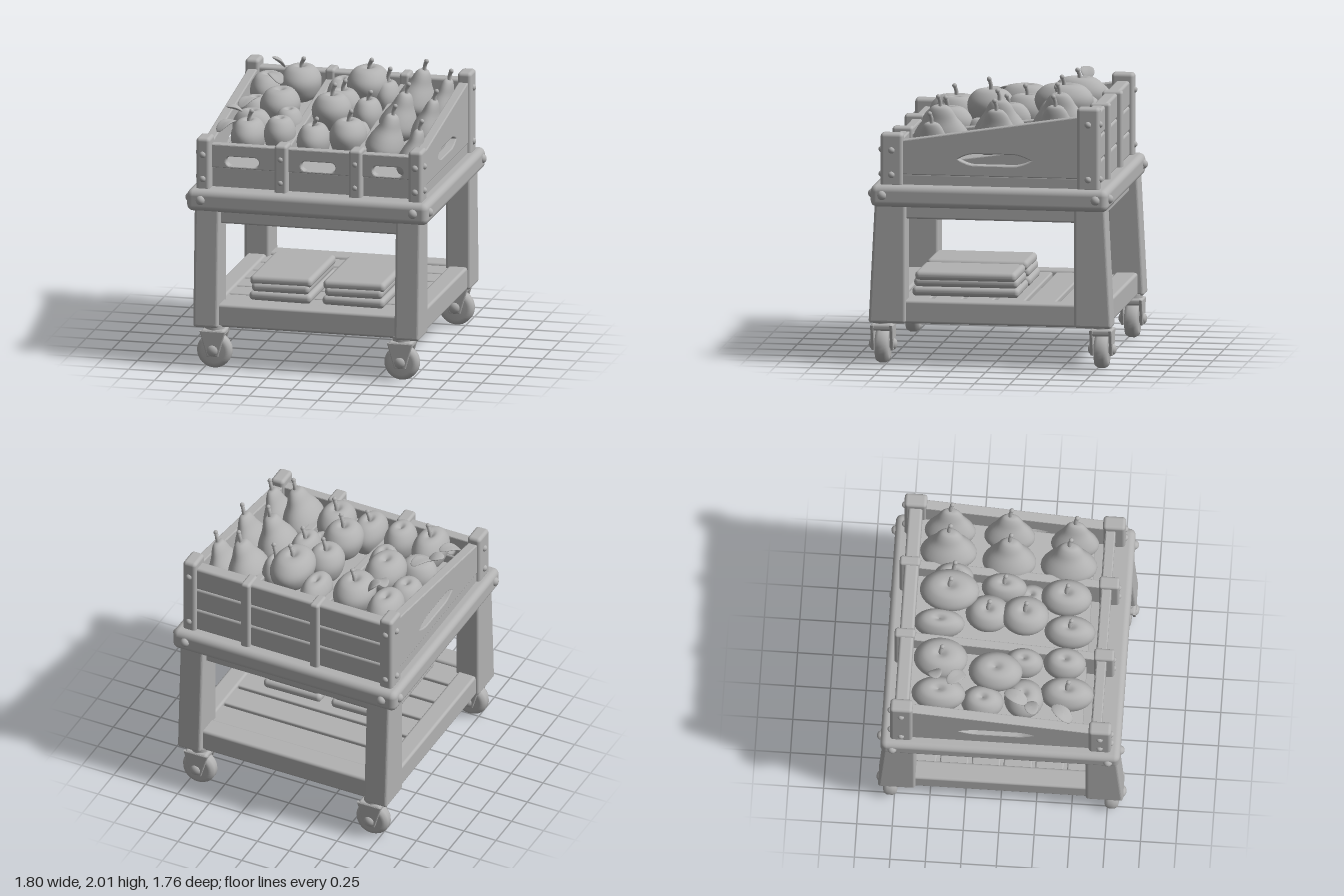
import * as THREE from 'three';
import { RoundedBoxGeometry } from 'three/addons/geometries/RoundedBoxGeometry.js';

const clay = new THREE.MeshStandardMaterial({ color: 0xb2b2b2 });
clay.name = 'clayGrey';

export function createModel() {
  const root = new THREE.Group();
  root.name = 'fruitCart';

  const add = (name, geo, x = 0, y = 0, z = 0, parent = root) => {
    const m = new THREE.Mesh(geo, clay);
    m.name = name;
    m.position.set(x, y, z);
    parent.add(m);
    return m;
  };
  // Rounded box given by its limits on each axis
  const block = (name, x0, x1, y0, y1, z0, z1, r = 0.015) =>
    add(name, new RoundedBoxGeometry(x1 - x0, y1 - y0, z1 - z0, 3, r),
      (x0 + x1) / 2, (y0 + y1) / 2, (z0 + z1) / 2);
  const bolt = (x, y, z, r = 0.03) => add('bolt', new THREE.SphereGeometry(r, 14, 10), x, y, z);
  const polygon = (pts, C = THREE.Shape) => new C(pts.map(p => new THREE.Vector2(...p)));
  // Panel with holes, extruded to a thickness centred on its plane
  const panelGeo = (outline, holes, depth) => {
    const s = polygon(outline);
    holes.forEach(h => s.holes.push(h));
    const b = 0.008;
    const g = new THREE.ExtrudeGeometry(s, {
      depth: depth - 2 * b, bevelEnabled: true, bevelThickness: b, bevelSize: b, bevelOffset: -b, bevelSegments: 2, curveSegments: 10,
    });
    return g.translate(0, 0, b - depth / 2);
  };
  const slot = (cx, cy, w, h) => {
    const p = new THREE.Path(), r = h / 2, k = w / 2 - r;
    p.absarc(cx + k, cy, r, -Math.PI / 2, Math.PI / 2, false);
    p.absarc(cx - k, cy, r, Math.PI / 2, Math.PI * 1.5, false);
    p.closePath();
    return p;
  };

  // Table top: thick rounded rim with an inset underside
  block('tableRim', -0.875, 0.875, 1.135, 1.29, -0.845, 0.845, 0.045);
  block('tableUnderside', -0.66, 0.66, 1.08, 1.15, -0.66, 0.66);

  for (const s of [-1, 1]) {
    // Aprons and lower rails
    block('apron', -0.68, 0.68, 1.04, 1.15, s > 0 ? 0.64 : -0.76, s > 0 ? 0.76 : -0.64);
    block('sideApron', s > 0 ? 0.66 : -0.76, s > 0 ? 0.76 : -0.66, 1.04, 1.15, -0.66, 0.66);
    block('lowerRail', -0.68, 0.68, 0.3, 0.465, s > 0 ? 0.66 : -0.82, s > 0 ? 0.82 : -0.66, 0.02);
    block('sideLowerRail', s > 0 ? 0.66 : -0.8, s > 0 ? 0.8 : -0.66, 0.3, 0.465, -0.68, 0.68, 0.02);
  }

  // Bottom shelf with slats
  block('shelfBase', -0.7, 0.7, 0.31, 0.4, -0.7, 0.7);
  for (let i = 0; i < 6; i++) {
    const z = -0.56 + i * 0.224;
    block('shelfSlat', -0.68, 0.68, 0.38, 0.45, z - 0.1, z + 0.1, 0.012);
  }

  for (const sx of [-1, 1]) for (const sz of [-1, 1]) {
    // Legs flare outward toward the floor
    const g = new RoundedBoxGeometry(0.18, 0.87, 0.22, 4, 0.02);
    const p = g.attributes.position;
    for (let i = 0; i < p.count; i++)
      if (p.getZ(i) * sz > 0) p.setZ(i, p.getZ(i) + sz * 0.045 * (0.5 - p.getY(i) / 0.87));
    g.computeVertexNormals();
    add('leg', g, sx * 0.73, 0.735, sz * 0.71);

    // Caster: round wheel between fork plates
    const c = new THREE.Group();
    c.name = 'caster';
    c.position.set(sx * 0.68, 0, sz * 0.78);
    root.add(c);
    const tyre = [[0, -0.05], [0.085, -0.05], [0.11, -0.045], [0.125, -0.02], [0.125, 0.02], [0.11, 0.045], [0.085, 0.05], [0, 0.05]];
    add('wheel', new THREE.LatheGeometry(tyre.map(q => new THREE.Vector2(...q)), 32).rotateX(Math.PI / 2), 0, 0.125, 0, c);
    for (const s of [-1, 1]) {
      const fork = polygon([[-0.035, 0.1], [0.035, 0.1], [0.085, 0.27], [-0.085, 0.27]]);
      add('forkPlate', new THREE.ExtrudeGeometry(fork, { depth: 0.012, bevelThickness: 0.006, bevelSize: 0.008, bevelSegments: 2 }),
        0, 0, s * 0.068 - 0.006, c);
      const cap = add('axleCap', new THREE.SphereGeometry(0.042, 16, 10), 0, 0.135, s * 0.07, c);
      cap.scale.z = 0.75;
    }
    add('forkTop', new RoundedBoxGeometry(0.17, 0.05, 0.16, 3, 0.02), 0, 0.26, 0, c);
    add('swivel', new THREE.CylinderGeometry(0.07, 0.07, 0.05, 20), 0, 0.29, 0, c);

    // Crate corner posts, tall at the back
    const top = sz > 0 ? 1.655 : 1.87;
    block('cornerPost', sx * 0.77 - 0.05, sx * 0.77 + 0.05, 1.27, top, sz * 0.7 - 0.08, sz * 0.7 + 0.08, 0.025);
    for (const y of [1.36, top - 0.12]) {
      bolt(sx * 0.815, y, sz * 0.7, 0.024);
      bolt(sx * 0.77, y, sz * 0.775, 0.024);
    }
    bolt(sx * 0.77, 1.22, sz * 0.84, 0.034);
    bolt(sx * 0.865, 1.22, sz * 0.76, 0.034);
  }

  // Crate front: slotted upper board above a plain lower board
  add('frontBoard', panelGeo([[-0.76, 1.43], [0.76, 1.43], [0.76, 1.6], [-0.76, 1.6]],
    [slot(-0.5, 1.48, 0.24, 0.07), slot(0.05, 1.48, 0.25, 0.07), slot(0.555, 1.48, 0.22, 0.07)], 0.07), 0, 0, 0.675);
  block('frontLowerBoard', -0.76, 0.76, 1.27, 1.44, 0.63, 0.695);
  // Crate back: three stacked boards
  for (let i = 0; i < 3; i++)
    block('backBoard', -0.76, 0.76, 1.28 + i * 0.178, 1.46 + i * 0.178, -0.75, -0.65, 0.02);

  // Sloped sides with a pointed hand hole
  for (const s of [-1, 1]) {
    const hole = new THREE.Path();
    hole.moveTo(-0.29, 1.48);
    hole.quadraticCurveTo(-0.22, 1.515, -0.17, 1.52);
    hole.lineTo(0.11, 1.52);
    hole.quadraticCurveTo(0.18, 1.515, 0.23, 1.48);
    hole.quadraticCurveTo(0.16, 1.44, 0.11, 1.44);
    hole.lineTo(-0.17, 1.44);
    hole.quadraticCurveTo(-0.23, 1.445, -0.29, 1.48);
    const side = panelGeo([[-0.68, 1.36], [0.66, 1.36], [0.66, 1.6], [-0.68, 1.81]], [hole], 0.07);
    add('sidePanel', side.rotateY(-Math.PI / 2), s * 0.765);
    block('sideLowerBoard', s * 0.765 - 0.03, s * 0.765 + 0.03, 1.27, 1.37, -0.66, 0.66);
  }

  // Dividers, with uprights outside the front and the back
  for (const x of [-0.21, 0.33]) {
    const d = panelGeo([[-0.67, 1.28], [0.66, 1.28], [0.66, 1.58], [-0.67, 1.76]], [], 0.06);
    add('divider', d.rotateY(-Math.PI / 2), x);
    block('frontUpright', x - 0.045, x + 0.045, 1.27, 1.63, 0.62, 0.765, 0.02);
    block('backUpright', x - 0.035, x + 0.035, 1.27, 1.83, -0.785, -0.64, 0.02);
    for (const y of [1.36, 1.53]) bolt(x, y, 0.76, 0.02);
  }

  // Sloping bed that carries the fruit
  const bed = panelGeo([[-0.65, 1.28], [0.57, 1.28], [0.57, 1.42], [-0.65, 1.6]], [], 1.46);
  add('fruitBed', bed.rotateY(-Math.PI / 2));

  // Fruit profiles of unit radius and unit half-height
  const lathe = pts => new THREE.LatheGeometry(
    new THREE.SplineCurve(pts.map(q => new THREE.Vector2(...q))).getPoints(28), 28);
  const appleGeo = lathe([[0, -0.85], [0.3, -0.98], [0.75, -0.72], [0.98, -0.1], [0.95, 0.4], [0.68, 0.85], [0.35, 0.98], [0.12, 0.88], [0, 0.78]]);
  const pearGeo = lathe([[0, -0.95], [0.4, -0.97], [0.85, -0.7], [1, -0.35], [0.85, 0.05], [0.58, 0.45], [0.42, 0.78], [0.25, 0.97], [0, 1]]);

  const stem = (x, y, z, h, lean) => {
    const c = new THREE.CatmullRomCurve3([[0, -0.03, 0], [lean * 0.3, h * 0.5, 0], [lean, h, 0.01]].map(q => new THREE.Vector3(...q)));
    add('stem', new THREE.TubeGeometry(c, 8, 0.014, 8), x, y, z);
    add('stemTip', new THREE.SphereGeometry(0.017, 10, 8), x + lean, y + h, z + 0.01);
  };

  // Apples: x, z, half-width, half-depth, top height, stem height
  for (const [x, z, rx, rz, top, st] of [
    [-0.37, -0.45, 0.145, 0.19, 1.9, 0.07], [-0.61, -0.45, 0.12, 0.19, 1.83, 0],
    [-0.62, -0.14, 0.115, 0.15, 1.74, 0], [-0.42, -0.06, 0.14, 0.19, 1.83, 0],
    [-0.57, 0.15, 0.14, 0.14, 1.72, 0], [-0.31, 0.13, 0.1, 0.14, 1.74, 0],
    [-0.52, 0.45, 0.12, 0.19, 1.73, 0.08], [-0.3, 0.42, 0.11, 0.15, 1.75, 0],
    [-0.08, -0.48, 0.1, 0.18, 1.82, 0], [0.13, -0.42, 0.15, 0.21, 1.93, 0.07],
    [0.27, -0.4, 0.09, 0.14, 1.84, 0.11], [0.01, -0.14, 0.13, 0.16, 1.83, 0.08],
    [0, 0.12, 0.14, 0.17, 1.86, 0.09], [0.22, -0.04, 0.1, 0.16, 1.8, 0.07],
    [0.19, 0.15, 0.1, 0.12, 1.68, 0],
    [-0.05, 0.44, 0.115, 0.18, 1.72, 0.06], [0.19, 0.4, 0.13, 0.18, 1.76, 0.08]]) {
    const hy = 0.13;
    add('apple', appleGeo, x, top - hy, z).scale.set(rx, hy, rz);
    if (st) stem(x, top - 0.02, z, st, 0.025);
  }

  // Pears leaning to one side: x, z, half-width, half-depth, top height
  for (const [x, z, rx, rz, top] of [
    [0.48, -0.45, 0.135, 0.2, 1.93], [0.66, -0.45, 0.105, 0.18, 1.87],
    [0.46, -0.02, 0.135, 0.19, 1.87], [0.66, -0.03, 0.105, 0.18, 1.83],
    [0.47, 0.4, 0.135, 0.2, 1.82], [0.67, 0.43, 0.1, 0.17, 1.73]]) {
    const hy = 0.18;
    const m = add('pear', pearGeo, x, top - hy, z);
    m.scale.set(rx, hy, rz);
    m.rotation.z = -0.25;
    stem(x + 0.045, top - 0.01, z, 0.07, 0.02);
  }

  // Leaves: x, y, z, length, turn, tilt
  for (const [x, y, z, len, turn, tilt] of [
    [-0.53, 1.91, -0.48, 0.06, 0.4, -0.7], [-0.52, 1.84, -0.33, 0.08, -0.8, -0.3],
    [-0.62, 1.77, 0.1, 0.09, 1.2, 0.2], [-0.68, 1.74, 0.21, 0.06, 0.3, -0.3], [-0.69, 1.68, 0.43, 0.09, 1.0, 0.3]]) {
    const g = new THREE.SphereGeometry(1, 20, 12).scale(len, 0.012, 0.05);
    const p = g.attributes.position;
    for (let i = 0; i < p.count; i++) p.setY(i, p.getY(i) - 3 * p.getX(i) ** 2 + 4 * p.getZ(i) ** 2);
    g.computeVertexNormals();
    add('leaf', g, x, y, z).rotation.set(0, turn, tilt);
  }

  // Two piles of folded sacks on the shelf
  for (const x of [-0.255, 0.275]) for (let k = 0; k < 3; k++) {
    const g = new RoundedBoxGeometry(0.45 - (k === 1 ? 0.03 : 0), 0.066, 0.76 - 0.02 * k, 6, 0.03);
    const p = g.attributes.position;
    for (let i = 0; i < p.count; i++) {
      const px = p.getX(i), pz = p.getZ(i);
      p.setY(i, p.getY(i) + 0.006 * Math.sin(px * 14 + k * 2) * Math.cos(pz * 9));
    }
    add('foldedSack', g, x, 0.482 + k * 0.057, 0.225);
  }

  return root;
}
